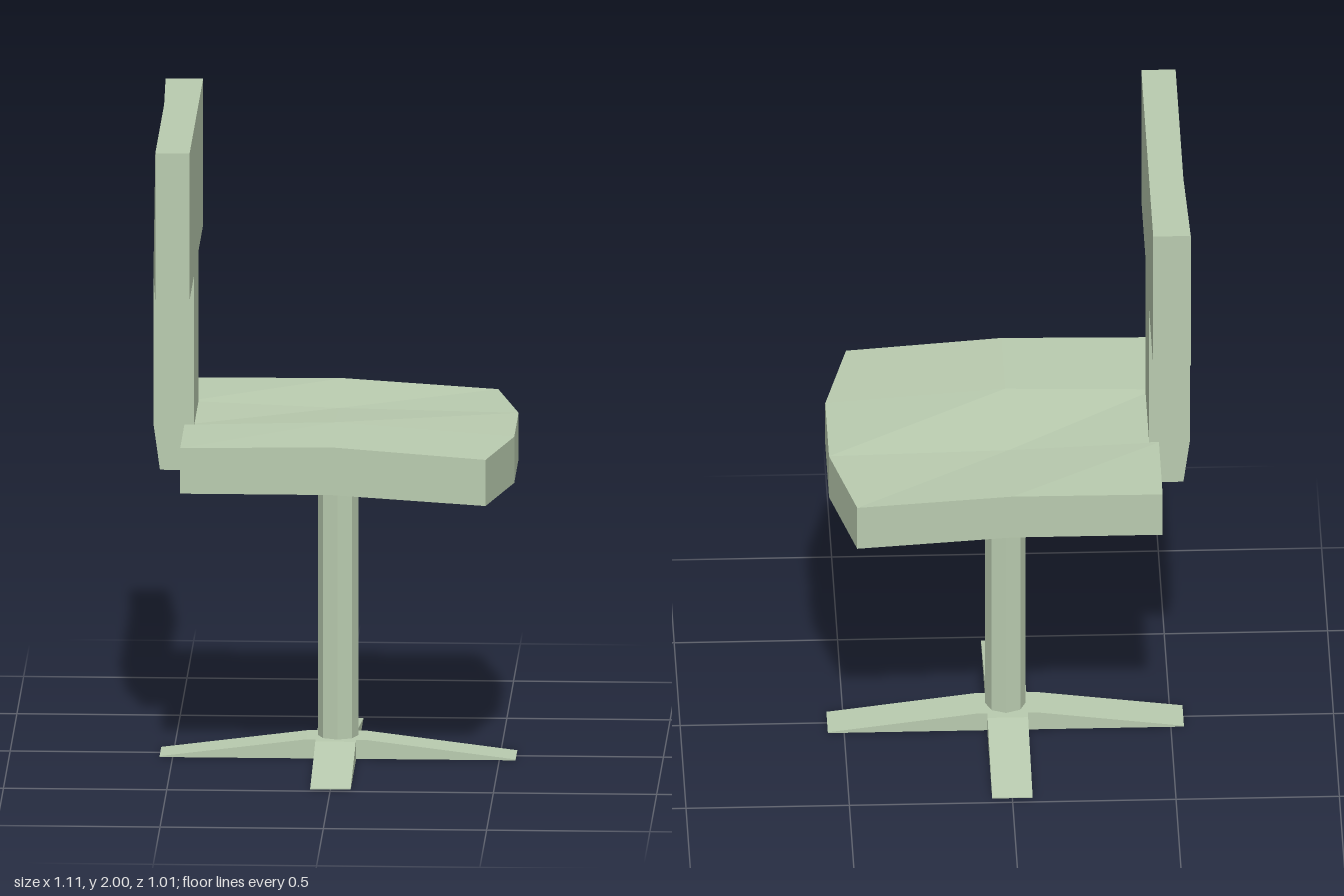
import * as THREE from 'three';

// Unit box whose vertices are placed by a rule of their grid indices
function gridBox(nx, ny, nz, place) {
  const g = new THREE.BoxGeometry(1, 1, 1, nx, ny, nz);
  const p = g.attributes.position;
  for (let i = 0; i < p.count; i++) {
    const ix = Math.round((p.getX(i) + 0.5) * nx);
    const iy = Math.round((p.getY(i) + 0.5) * ny);
    const iz = Math.round((p.getZ(i) + 0.5) * nz);
    p.setXYZ(i, ...place(ix, iy, iz));
  }
  const flat = g.toNonIndexed();
  flat.computeVertexNormals();
  return flat;
}

export function createModel() {
  const group = new THREE.Group();
  group.name = 'swivelChair';
  const sage = new THREE.MeshStandardMaterial({ color: 0xb9cbaf, flatShading: true });
  sage.name = 'sageGreen';

  const add = (name, geometry) => {
    const mesh = new THREE.Mesh(geometry, sage);
    mesh.name = name;
    group.add(mesh);
    return mesh;
  };

  // Seat: softly bent cushion with a bowed front edge (front is +x)
  const seatZ = [-0.475, -0.16, 0.16, 0.475];
  const seatFront = [0.475, 0.55, 0.55, 0.475];
  const seatCrown = [1.07, 1.05, 1.08, 1.075];
  add('seat', gridBox(2, 1, 3, (ix, iy, iz) => {
    const x = [-0.46, 0, seatFront[iz]][ix];
    const top = [1.068, seatCrown[iz], 1.04][ix];
    const bottom = [0.925, 0.925, 0.895][ix];
    return [x, iy ? top : bottom, seatZ[iz]];
  }));

  // Back panel: flat front, slightly bulging rear
  const backZ = [-0.503, -0.157, 0.157, 0.503];
  const rearLow = [-0.545, -0.555, -0.555, -0.535];
  const rearTop = [-0.545, -0.535, -0.535, -0.535];
  add('backPanel', gridBox(1, 1, 3, (ix, iy, iz) => [
    ix ? -0.43 : (iy ? rearTop : rearLow)[iz],
    iy ? 2 : 1.54,
    backZ[iz],
  ]));

  // Stem joining the back panel to the rear of the seat
  add('backStem', gridBox(1, 2, 1, (ix, iy, iz) => [
    ix ? -0.43 : [-0.535, -0.555, -0.555][iy],
    [0.925, 1.07, 1.54][iy],
    iz ? 0.157 : -0.157,
  ]));

  // Eight-sided column
  const column = add('column', new THREE.CylinderGeometry(0.062, 0.062, 0.92, 8));
  column.position.set(0.004, 0.47, 0);

  // Four wedge legs in a cross
  [0.55, 0.475, 0.54, 0.475].forEach((length, i) => {
    const profile = new THREE.Shape([
      [0, 0], [length, 0], [length, 0.003], [0.09, 0.06], [0, 0.06],
    ].map(([x, y]) => new THREE.Vector2(x, y)));
    const g = new THREE.ExtrudeGeometry(profile, { depth: 0.124, bevelEnabled: false });
    g.translate(0, 0, -0.062);
    const leg = add('leg' + (i + 1), g);
    leg.rotation.y = i * Math.PI / 2;
  });

  return group;
}
